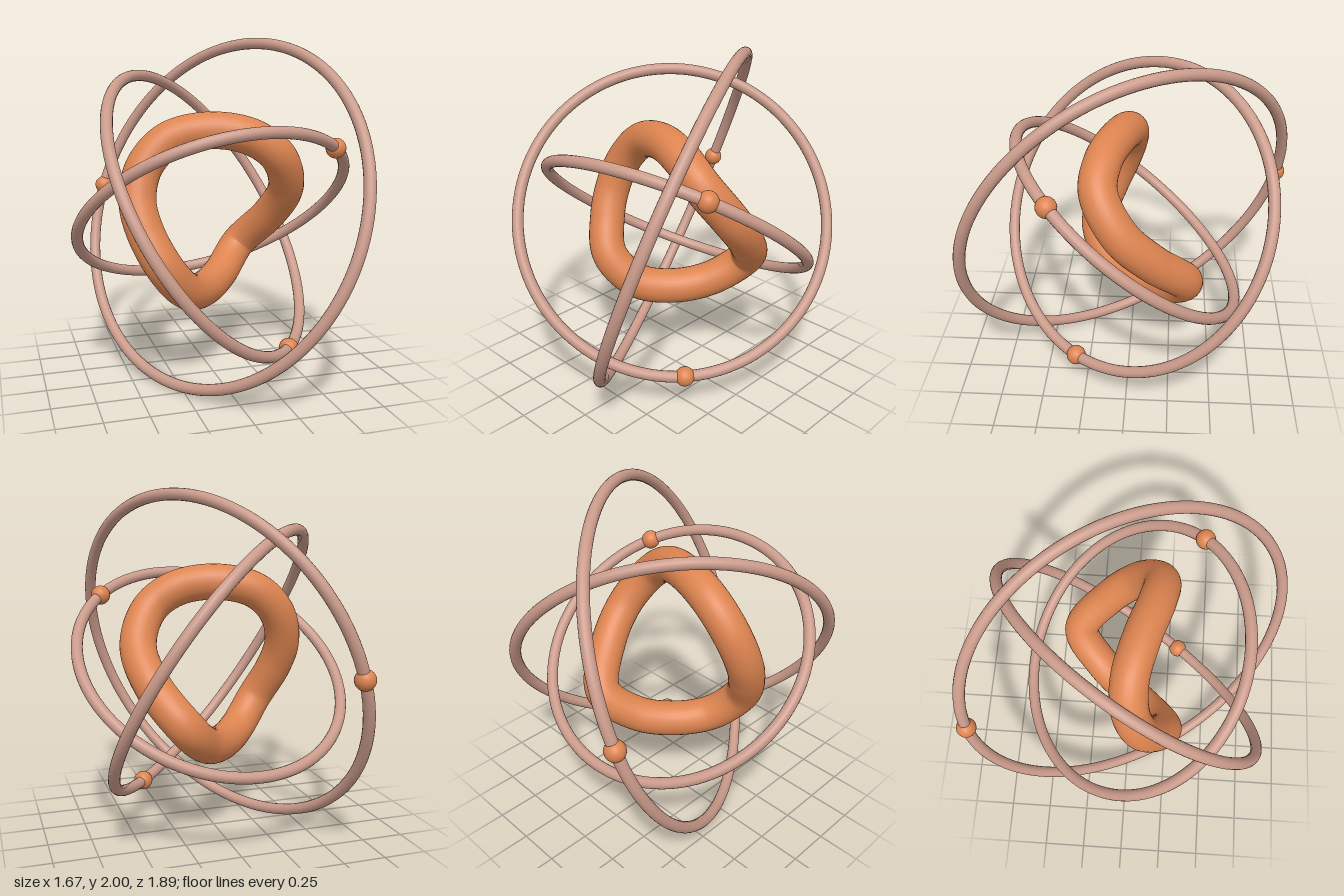
import * as THREE from 'three';

const V = (x, y, z) => new THREE.Vector3(x, y, z);

export function createModel() {
  const model = new THREE.Group();
  model.name = 'orbitSculpture';

  const orange = new THREE.MeshStandardMaterial({ color: 0xdd8450 });
  orange.name = 'copper orange';
  const rose = new THREE.MeshStandardMaterial({ color: 0xc99a8a });
  rose.name = 'dusty rose';

  const add = (name, geometry, material, parent = model) => {
    const mesh = new THREE.Mesh(geometry, material);
    mesh.name = name;
    parent.add(mesh);
    return mesh;
  };

  // Thick twisted loop in the middle
  const path = [
    [-0.05, 1.475, 0.065], [0.18, 1.44, 0.135], [0.34, 1.33, 0.15],
    [0.445, 1.13, 0.03], [0.41, 0.93, -0.155], [0.27, 0.72, -0.33],
    [0.11, 0.57, -0.2], [-0.05, 0.525, -0.02], [-0.2, 0.567, 0.14],
    [-0.345, 0.73, 0.225], [-0.44, 0.93, 0.15], [-0.465, 1.1, 0.075],
    [-0.41, 1.28, 0.02], [-0.27, 1.42, 0.012],
  ].map((p) => V(...p));
  const curve = new THREE.CatmullRomCurve3(path, true, 'centripetal');
  add('twistedLoop', new THREE.TubeGeometry(curve, 200, 0.106, 28, true), orange);

  // Three tilted orbit rings about the centre, each carrying one bead
  const orbits = [
    { name: 'outerOrbit', radius: 1.029, normal: V(0.812, -0.342, -0.472), bead: V(-0.5, 0.045, -0.89) },
    { name: 'middleOrbit', radius: 0.914, normal: V(0.672, 0.522, 0.526), bead: V(0.365, -0.785, 0.303) },
    { name: 'innerOrbit', radius: 0.806, normal: V(-0.11, 0.782, -0.615), bead: V(0.595, 0.385, 0.39) },
  ];
  for (const { name, radius, normal, bead } of orbits) {
    const orbit = new THREE.Group();
    orbit.name = name;
    orbit.position.y = 1;
    model.add(orbit);
    normal.normalize();
    const ring = add(name + 'Ring', new THREE.TorusGeometry(radius, 0.033, 16, 128), rose, orbit);
    ring.quaternion.setFromUnitVectors(V(0, 0, 1), normal);
    const ball = add(name + 'Bead', new THREE.SphereGeometry(0.057, 24, 16), orange, orbit);
    ball.position.copy(bead).projectOnPlane(normal).setLength(radius);
  }
  return model;
}
